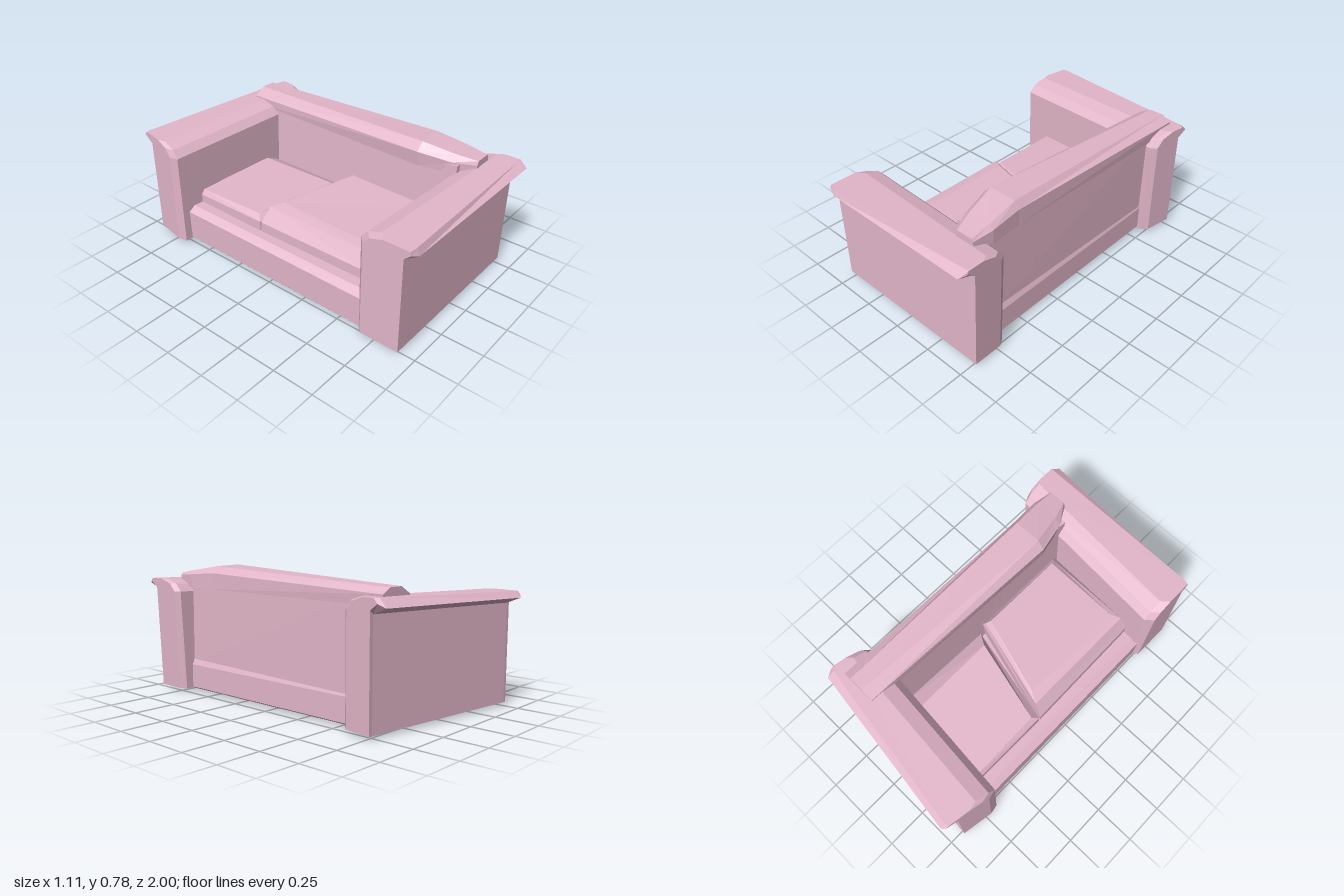
import * as THREE from 'three';

const material = new THREE.MeshStandardMaterial({ color: 0xe2b6c9, flatShading: true, side: THREE.DoubleSide });

// Skins a list of equal-length point loops and closes both ends.
function loft(name, loops) {
  const tris = [];
  const n = loops[0].length;
  for (let s = 0; s < loops.length - 1; s++) {
    for (let i = 0; i < n; i++) {
      const j = (i + 1) % n;
      const a = loops[s][i], b = loops[s][j], c = loops[s + 1][j], d = loops[s + 1][i];
      tris.push([a, b, c], [a, c, d]);
    }
  }
  const last = loops[loops.length - 1];
  for (let i = 1; i < n - 1; i++) {
    tris.push([loops[0][0], loops[0][i + 1], loops[0][i]], [last[0], last[i], last[i + 1]]);
  }
  // Turn all faces outward by the sign of the enclosed volume
  let volume = 0;
  const v = (p) => new THREE.Vector3(...p);
  for (const [a, b, c] of tris) volume += v(a).dot(v(b).cross(v(c)));
  if (volume < 0) tris.forEach((t) => t.reverse());
  const geometry = new THREE.BufferGeometry();
  geometry.setAttribute('position', new THREE.Float32BufferAttribute(tris.flat(2), 3));
  geometry.computeVertexNormals();
  const mesh = new THREE.Mesh(geometry, material);
  mesh.name = name;
  return mesh;
}

// One cross-section of an arm: a post with a sloped inner shoulder and a flange outside.
function armSection(side, { x, inner, body, top, tip, yTop, yTip, lean = 0, skew = 0 }) {
  const profile = [
    [body, yTip - 0.035], [tip, yTip], [top, yTop], [inner + 0.12, yTop],
    [inner + 0.04, yTop - 0.025], [inner, yTop - 0.07], [inner, 0.02], [body, 0.02],
  ];
  return profile.map(([z, y]) => [x + skew * (z - 0.7) - lean * (0.69 - y), y, side * z]);
}

// Horizontal rectangle-like loop from four plan corners, heights given per corner.
const ring = (corners, y) => corners.map(([x, z], i) => [x, Array.isArray(y) ? y[i] : y, z]);

export function createModel() {
  const group = new THREE.Group();
  group.name = 'sofa';

  // Arms
  group.add(loft('leftArm', [
    { x: -0.525, inner: 0.67, body: 0.91, top: 0.945, tip: 0.95, yTop: 0.655, yTip: 0.635 },
    { x: -0.48, inner: 0.63, body: 0.91, top: 0.95, tip: 0.965, yTop: 0.657, yTip: 0.615 },
    { x: 0.53, inner: 0.7, body: 0.91, top: 0.95, tip: 1.0, yTop: 0.69, yTip: 0.66, lean: 0.045 },
    { x: 0.55, inner: 0.735, body: 0.91, top: 0.95, tip: 0.96, yTop: 0.69, yTip: 0.67, lean: 0.04 },
  ].map((s) => armSection(1, s))));
  group.add(loft('rightArm', [
    { x: -0.555, inner: 0.715, body: 0.91, top: 0.965, tip: 0.985, yTop: 0.66, yTip: 0.64, skew: 0.17 },
    { x: -0.535, inner: 0.66, body: 0.91, top: 0.97, tip: 1.0, yTop: 0.66, yTip: 0.625, skew: 0.17 },
    { x: 0.51, inner: 0.575, body: 0.775, top: 0.82, tip: 0.865, yTop: 0.69, yTip: 0.645, skew: 0.17 },
    { x: 0.535, inner: 0.605, body: 0.775, top: 0.8, tip: 0.825, yTop: 0.69, yTip: 0.665, skew: 0.17 },
  ].map((s) => armSection(-1, s))));

  // Plinth and seat base
  const plan = (x0, x1, z0, z1) => [[x0, z0], [x1, z0], [x1, z1], [x0, z1]];
  group.add(loft('plinth', [
    ring(plan(-0.47, 0.4, -0.63, 0.73), 0),
    ring(plan(-0.49, 0.44, -0.66, 0.76), 0.022),
    ring(plan(-0.49, 0.44, -0.66, 0.76), 0.03),
  ]));
  group.add(loft('seatBase', [
    ring(plan(-0.48, 0.455, -0.66, 0.72), 0.025),
    ring(plan(-0.48, 0.455, -0.66, 0.72), 0.165),
    ring(plan(-0.42, 0.44, -0.66, 0.72), 0.2),
  ]));

  // Rail along the open edge of the seat
  const railProfile = [[-0.495, 0.03], [-0.498, 0.21], [-0.455, 0.24], [-0.39, 0.24], [-0.385, 0.03]];
  group.add(loft('seatRail', [-0.68, 0.68].map((z) => railProfile.map(([x, y]) => [x, y, z]))));

  // Seat cushions, meeting on a slanted line
  group.add(loft('rightCushion', [
    ring([[-0.395, -0.66], [0.24, -0.6], [0.24, -0.01], [-0.4, -0.15]], 0.19),
    ring([[-0.395, -0.66], [0.24, -0.6], [0.22, -0.01], [-0.4, -0.15]], [0.29, 0.29, 0.3, 0.3]),
    ring([[-0.375, -0.65], [0.14, -0.6], [0.14, -0.06], [-0.37, -0.185]], [0.32, 0.34, 0.35, 0.33]),
  ]));
  group.add(loft('leftCushion', [
    ring([[-0.4, -0.14], [0.24, 0.04], [0.24, 0.67], [-0.39, 0.65]], 0.19),
    ring([[-0.4, -0.14], [0.24, 0.03], [0.24, 0.66], [-0.39, 0.65]], [0.3, 0.36, 0.36, 0.3]),
    ring([[-0.34, -0.12], [0.22, 0.035], [0.22, 0.63], [-0.34, 0.63]], [0.385, 0.39, 0.39, 0.38]),
    ring([[-0.27, -0.08], [0.2, 0.06], [0.2, 0.6], [-0.28, 0.6]], [0.4, 0.42, 0.41, 0.39]),
  ]));

  // Backrest panel and the bevelled roll that runs over both arms
  const back = (z, pts) => pts.map(([x, y]) => [x, y, z]);
  group.add(loft('backPanel', [
    back(-0.62, [[0.24, 0.165], [0.255, 0.69], [0.455, 0.69], [0.45, 0.165]]),
    back(0.73, [[0.22, 0.165], [0.24, 0.7], [0.435, 0.7], [0.44, 0.165]]),
  ]));
  group.add(loft('backRoll', [
    back(-0.79, [[0.255, 0.64], [0.255, 0.69], [0.325, 0.73], [0.415, 0.73], [0.47, 0.7], [0.465, 0.64]]),
    back(0.5, [[0.21, 0.64], [0.198, 0.73], [0.243, 0.778], [0.41, 0.775], [0.44, 0.735], [0.44, 0.64]]),
    back(0.69, [[0.25, 0.64], [0.245, 0.71], [0.285, 0.745], [0.425, 0.745], [0.45, 0.72], [0.45, 0.64]]),
    back(0.81, [[0.315, 0.66], [0.315, 0.7], [0.325, 0.725], [0.425, 0.725], [0.435, 0.71], [0.435, 0.66]]),
  ]));

  return group;
}
